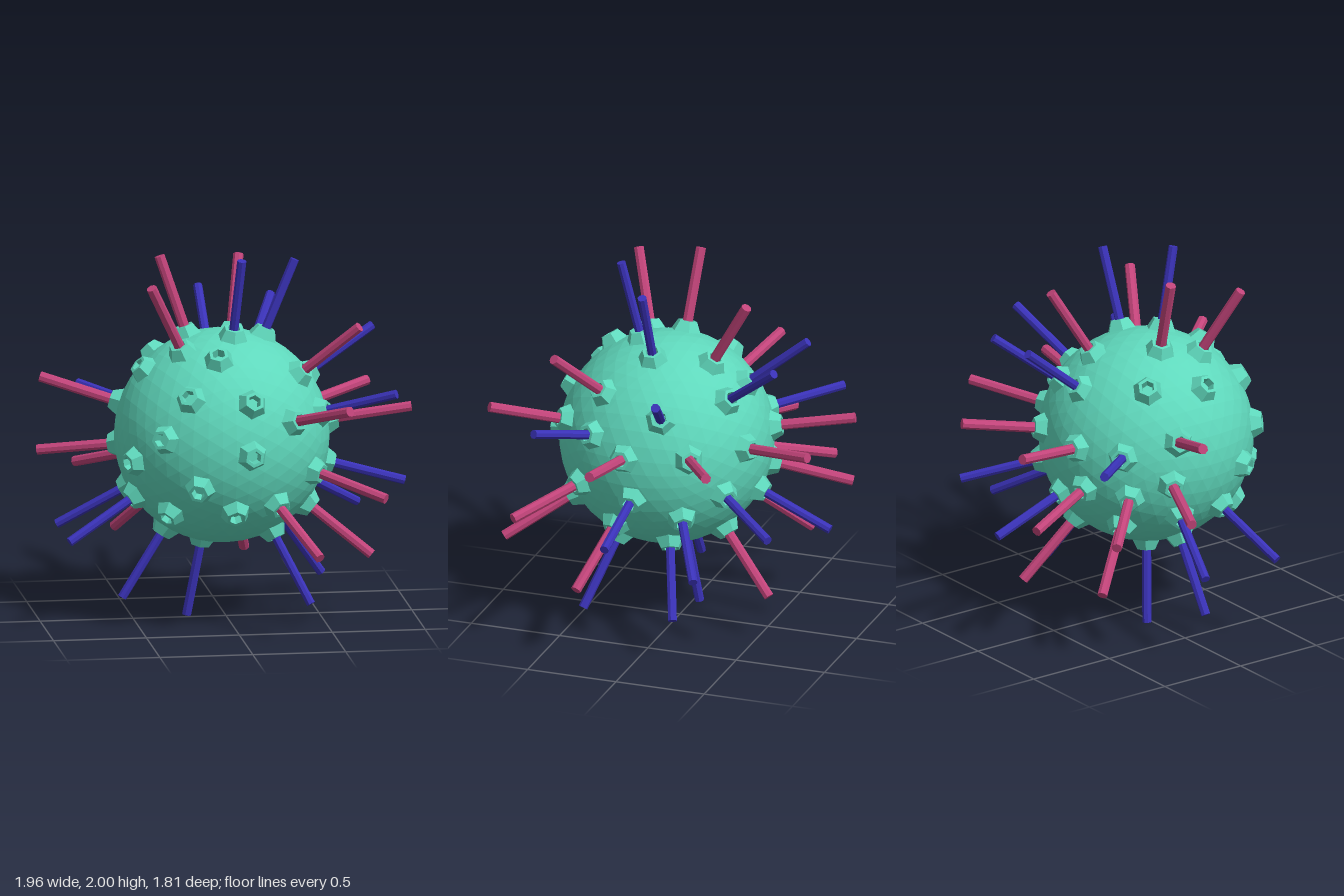
import * as THREE from 'three';

const CENTRE = new THREE.Vector3(-0.035, 1.0, 0.085);
const RADIUS = 0.575;
const ROD_END = 1.022;

// Directions from the centre of the ball, one per spike
const PINK = [
  [-0.425, 0.88, 0.315], [-0.325, 0.97, -0.075], [0.165, 0.88, -0.515],
  [0.685, 0.65, 0.395], [0.575, 0.275, 0.795], [0.865, 0.16, -0.535],
  [1.005, 0.14, 0.075], [-0.935, 0.28, -0.31], [-0.935, -0.135, -0.385],
  [-0.695, -0.275, -0.705], [0.795, -0.25, 0.58], [0.765, -0.62, 0.235],
  [0.415, -0.52, 0.765], [0.215, -0.755, -0.655], [-0.485, -0.62, -0.645],
  [-0.225, 0.15, -0.975], [-0.3, -0.245, -0.945], [0.385, 0.15, -0.935],
];
const BLUE = [
  [0.075, 1.0, 0.235], [0.395, 0.95, 0], [0.375, 0.61, -0.75],
  [-0.015, 0.65, -0.8], [0.845, 0.52, -0.24], [0.875, 0.285, 0.437],
  [0.975, -0.275, 0], [0.595, -0.265, -0.785], [0.785, -0.475, -0.43],
  [0.565, -0.81, -0.235], [0.43, -0.86, 0.315], [-0.17, -0.99, -0.12],
  [-0.53, -0.86, 0], [-0.845, -0.505, 0.235], [-0.855, -0.51, -0.235],
  [-0.665, 0.14, -0.765], [0.055, -0.39, -0.945],
];
const EMPTY = [
  [0.09, 0, 0.61], [-0.245, 0.31, 0.47], [0.1, 0.29, 0.54],
  [-0.395, 0.08, 0.47], [-0.205, -0.2, 0.55], [0.005, -0.35, 0.51],
  [-0.065, 0.5, 0.34], [-0.45, 0.4, 0.07], [-0.54, -0.08, 0.28],
  [-0.345, -0.37, 0.35], [-0.355, 0.43, -0.25],
];

const flat = (color) => new THREE.MeshStandardMaterial({ color, flatShading: true });

export function createModel() {
  const model = new THREE.Group();
  model.name = 'spikyBall';

  const teal = flat(0x5fd8bc);
  const pink = flat(0xc2447a);
  const blue = flat(0x3a32b8);

  // Faceted ball
  const ball = new THREE.Mesh(new THREE.IcosahedronGeometry(RADIUS, 7), teal);
  ball.name = 'ball';
  ball.position.copy(CENTRE);
  model.add(ball);

  // Hexagonal socket: sloping wall, flat rim, hollow bore with a floor
  const profile = [[0.09, 0.555], [0.054, 0.625], [0.036, 0.625], [0.03, 0.578], [0, 0.578]];
  const socketGeo = new THREE.LatheGeometry(profile.map(([r, y]) => new THREE.Vector2(r, y)), 6);

  // Straight rod rising from the socket
  const rodGeo = (radius) => {
    const length = ROD_END - 0.56;
    return new THREE.CylinderGeometry(radius, radius, length, 8).translate(0, 0.56 + length / 2, 0);
  };

  const up = new THREE.Vector3(0, 1, 0);
  const addSpikes = (directions, name, rod, material) => {
    directions.forEach((d) => {
      const spike = new THREE.Group();
      spike.name = name;
      spike.position.copy(CENTRE);
      spike.quaternion.setFromUnitVectors(up, new THREE.Vector3(...d).normalize());
      const socket = new THREE.Mesh(socketGeo, teal);
      socket.name = 'socket';
      spike.add(socket);
      if (rod) {
        const mesh = new THREE.Mesh(rod, material);
        mesh.name = 'rod';
        spike.add(mesh);
      }
      model.add(spike);
    });
  };

  addSpikes(PINK, 'pinkSpike', rodGeo(0.028), pink);
  addSpikes(BLUE, 'blueSpike', rodGeo(0.025), blue);
  addSpikes(EMPTY, 'emptySocket');

  return model;
}
